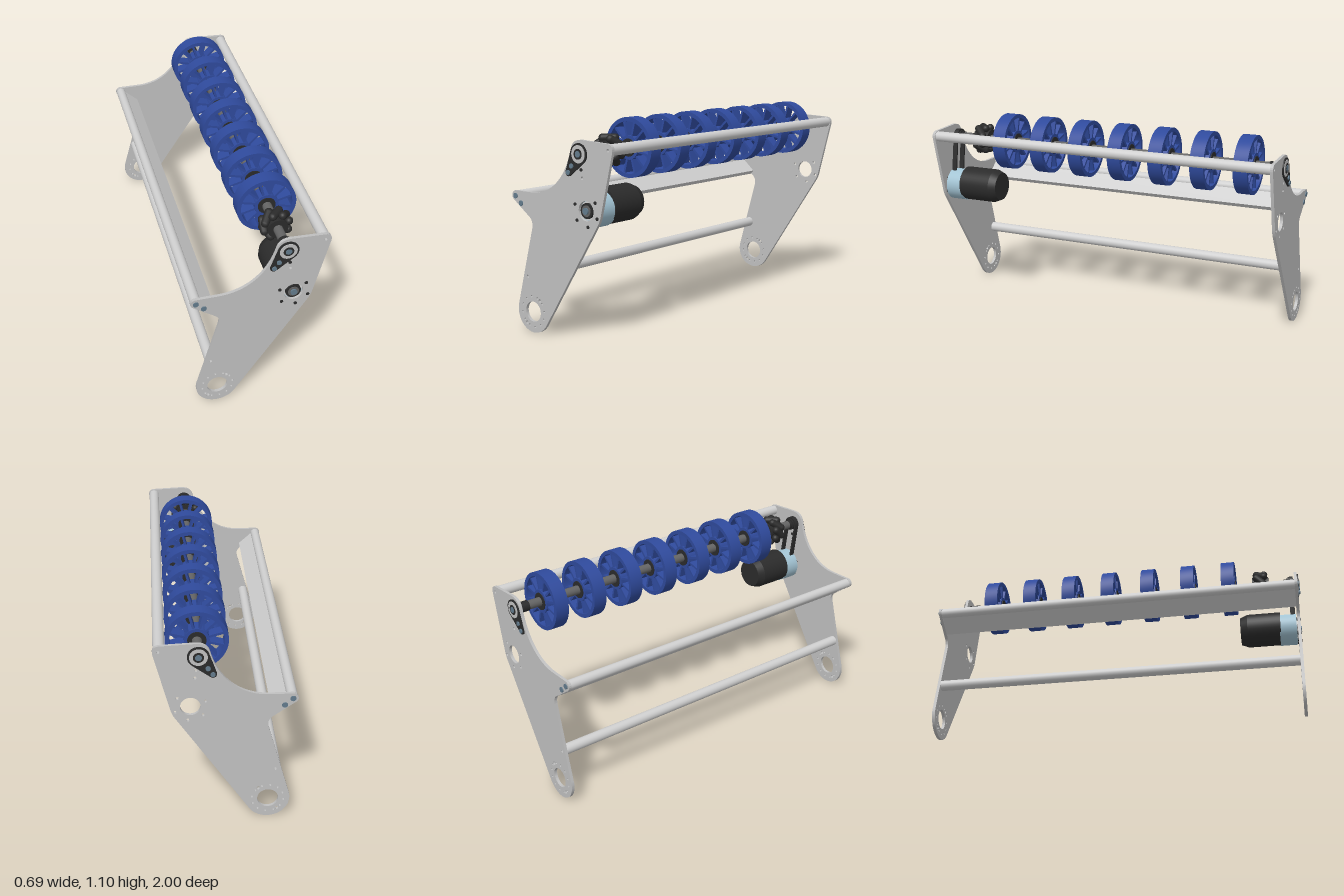
import * as THREE from 'three';
import { toCreasedNormals } from 'three/addons/utils/BufferGeometryUtils.js';

const mat = (name, color) => {
  const m = new THREE.MeshStandardMaterial({ color });
  m.name = name;
  return m;
};

export function createModel() {
  const plateGrey = mat('plate grey', 0xc0c0c0);
  const tubeGrey = mat('tube grey', 0xcfcfcf);
  const blue = mat('wheel blue', 0x2f4a9c);
  const black = mat('black', 0x2b2b2b);
  const steel = mat('shaft steel', 0x646464);
  const paleBlue = mat('motor pale blue', 0xa3c4d4);
  const boltBlue = mat('bolt blue grey', 0x637b8c);

  const root = new THREE.Group();
  root.name = 'rollerIntake';
  const D = Math.PI / 180;
  const SHAFT = [0.13, 0.945], MOTOR = [0.17, 0.672];

  const add = (name, geo, material, parent = root) => {
    const m = new THREE.Mesh(geo, material);
    m.name = name;
    parent.add(m);
    return m;
  };
  const group = (name, parent = root) => {
    const g = new THREE.Group();
    g.name = name;
    parent.add(g);
    return g;
  };
  // Cylinder along z from z0 to z1; r0 and r1 are the radii at those ends
  const rod = (name, [x, y], z0, z1, r0, material, parent = root, r1 = r0, seg = 32) => {
    const g = new THREE.CylinderGeometry(r1, r0, z1 - z0, seg).rotateX(Math.PI / 2);
    return add(name, g.translate(x, y, (z0 + z1) / 2), material, parent);
  };
  const extrude = (shape, z0, z1, curveSegments = 24) => toCreasedNormals(
    new THREE.ExtrudeGeometry(shape, { depth: z1 - z0, bevelEnabled: false, curveSegments }).translate(0, 0, z0), 0.6);
  const hole = (shape, x, y, r) => shape.holes.push(new THREE.Path().absarc(x, y, r, 0, Math.PI * 2, true));
  const ring = (r, inner) => {
    const s = new THREE.Shape().absarc(0, 0, r, 0, Math.PI * 2);
    hole(s, 0, 0, inner);
    return s;
  };
  // Outline wrapped round two circles
  const wrap = ([x1, y1], r1, [x2, y2], r2, Type = THREE.Shape) => {
    const dir = Math.atan2(y2 - y1, x2 - x1);
    const a = Math.acos((r1 - r2) / Math.hypot(x2 - x1, y2 - y1));
    const s = new Type();
    s.absarc(x1, y1, r1, dir + a, dir - a + Math.PI * 2, false);
    s.absarc(x2, y2, r2, dir - a, dir + a, false);
    s.closePath();
    return s;
  };

  // Side plate outline with its holes
  const plate = new THREE.Shape();
  plate.absarc(-0.213, 0.11, 0.11, 164.5 * D, 326.4 * D, false);
  plate.lineTo(0.24, 0.6);
  plate.quadraticCurveTo(0.258, 0.625, 0.266, 0.655);
  plate.lineTo(0.344, 0.965);
  plate.quadraticCurveTo(0.35, 1.005, 0.31, 1.006);
  plate.lineTo(0.16, 1.013);
  plate.quadraticCurveTo(0.09, 1.02, 0.075, 0.97);
  plate.bezierCurveTo(0.04, 0.83, -0.06, 0.727, -0.21, 0.727);
  plate.lineTo(-0.322, 0.727);
  plate.absarc(-0.322, 0.701, 0.026, 90 * D, 235 * D, false);
  plate.lineTo(-0.225, 0.6);
  plate.quadraticCurveTo(-0.2, 0.582, -0.207, 0.545);
  plate.closePath();
  hole(plate, -0.213, 0.11, 0.053);
  for (let i = 0; i < 12; i++) {
    const a = (8 + i * 30) * D;
    hole(plate, -0.213 + 0.08 * Math.cos(a), 0.11 + 0.08 * Math.sin(a), 0.006);
  }
  for (const a of [53 * D, -127 * D]) hole(plate, -0.213 + 0.08 * Math.cos(a), 0.11 + 0.08 * Math.sin(a), 0.009);
  hole(plate, ...MOTOR, 0.049);
  const motorBolts = [[0.098, 0.7], [0.232, 0.718], [0.243, 0.642], [0.182, 0.595], [0.11, 0.622], [0.142, 0.87]];
  for (const [x, y] of [...motorBolts, [0.147, 0.83], [0.317, 0.975], [-0.248, 0.29]]) hole(plate, x, y, 0.008);

  // Both ends: plate, teardrop bearing bracket and fasteners
  for (const s of [1, -1]) {
    const side = group(s > 0 ? 'frontEnd' : 'backEnd');
    const span = (a, b) => (s > 0 ? [a, b] : [-b, -a]);
    add('sidePlate', extrude(plate, ...span(0.971, 0.987)), plateGrey, side);
    add('bearingBracket', extrude(wrap(SHAFT, 0.053, [0.062, 0.852], 0.019), ...span(0.987, 0.994)), black, side);
    rod('bearingRing', SHAFT, ...span(0.99, 0.996), 0.044, plateGrey, side);
    rod('bearingCore', SHAFT, ...span(0.99, 0.998), 0.026, black, side);
    rod('shaftBolt', SHAFT, ...span(0.99, 1), 0.016, boltBlue, side);
    for (const p of [[0.085, 0.885], [0.062, 0.852]]) rod('bracketBolt', p, ...span(0.99, 1), 0.012, boltBlue, side);
    for (const p of [[-0.322, 0.7], [-0.283, 0.665]]) rod('barBolt', p, ...span(0.985, 0.992), 0.014, boltBlue, side);
    rod('shaftCollar', SHAFT, ...span(0.91, 0.971), 0.028, black, side);
  }

  // Cross tubes
  rod('topTube', [0.314, 0.975], -0.971, 0.971, 0.028, tubeGrey);
  rod('rearTube', [-0.32, 0.7], -0.971, 0.971, 0.026, tubeGrey);
  rod('lowerTube', [-0.248, 0.293], -0.971, 0.971, 0.028, tubeGrey);

  // Slanted flat bar beside the rear tube
  const bar = add('slantedBar', new THREE.BoxGeometry(0.11, 0.03, 1.942), tubeGrey);
  bar.position.set(-0.271, 0.656, 0);
  bar.rotation.z = -42 * D;

  // Drive shaft
  rod('driveShaft', SHAFT, -0.971, 0.971, 0.024, steel);

  // Seven spoked wheels
  const rimGeo = extrude(ring(0.154, 0.133), -0.0375, 0.0375, 32);
  const hubGeo = extrude(ring(0.062, 0.044), -0.035, 0.035);
  const coreGeo = extrude(ring(0.046, 0.02), -0.039, 0.039);
  const spokeGeo = new THREE.BoxGeometry(0.08, 0.012, 0.06).translate(0.098, 0, 0);
  for (let i = 0; i < 7; i++) {
    const wheel = group('wheel');
    wheel.position.set(...SHAFT, 0.597 - i * 0.2325);
    add('rim', rimGeo, blue, wheel);
    add('hub', hubGeo, blue, wheel);
    add('hubCore', coreGeo, black, wheel);
    for (let k = 0; k < 12; k++) add('spoke', spokeGeo, blue, wheel).rotation.z = (k * 30 + 15) * D;
  }

  // Small wheel with tilted rollers
  const omni = group('rollerWheel');
  omni.position.set(...SHAFT, 0.778);
  rod('rollerHub', [0, 0], -0.035, 0.035, 0.045, black, omni);
  const rollerGeo = new THREE.CapsuleGeometry(0.021, 0.06, 5, 12).rotateX(45 * D).translate(0.062, 0, 0);
  for (let k = 0; k < 8; k++) add('roller', rollerGeo, black, omni).rotation.z = k * 45 * D;
  for (const z of [-0.04, 0.04]) rod('rollerFlange', [0, 0], z - 0.006, z + 0.006, 0.052, black, omni);

  // Belt drive from motor to shaft
  const belt = wrap(MOTOR, 0.042, SHAFT, 0.042);
  belt.holes.push(wrap(MOTOR, 0.033, SHAFT, 0.033, THREE.Path));
  add('belt', extrude(belt, 0.935, 0.962), black);
  rod('shaftPulley', SHAFT, 0.925, 0.965, 0.034, black);

  // Motor with gearbox, end cap and output hub
  const motor = group('motor');
  rod('gearbox', MOTOR, 0.87, 0.966, 0.088, paleBlue, motor, 0.088, 40);
  rod('motorBody', [0.17, 0.683], 0.69, 0.876, 0.094, black, motor, 0.094, 40);
  rod('motorCap', [0.17, 0.683], 0.65, 0.69, 0.078, black, motor, 0.094, 40);
  rod('motorFace', MOTOR, 0.96, 0.97, 0.048, tubeGrey, motor);
  rod('outputPulley', MOTOR, 0.965, 0.984, 0.039, black, motor, 0.039, 20);
  rod('outputRing', MOTOR, 0.98, 0.987, 0.028, steel, motor);
  rod('outputBolt', MOTOR, 0.98, 0.994, 0.017, boltBlue, motor);
  for (const p of motorBolts) rod('motorBolt', p, 0.965, 0.991, 0.0085, black, motor, 0.0085, 12);

  return root;
}
